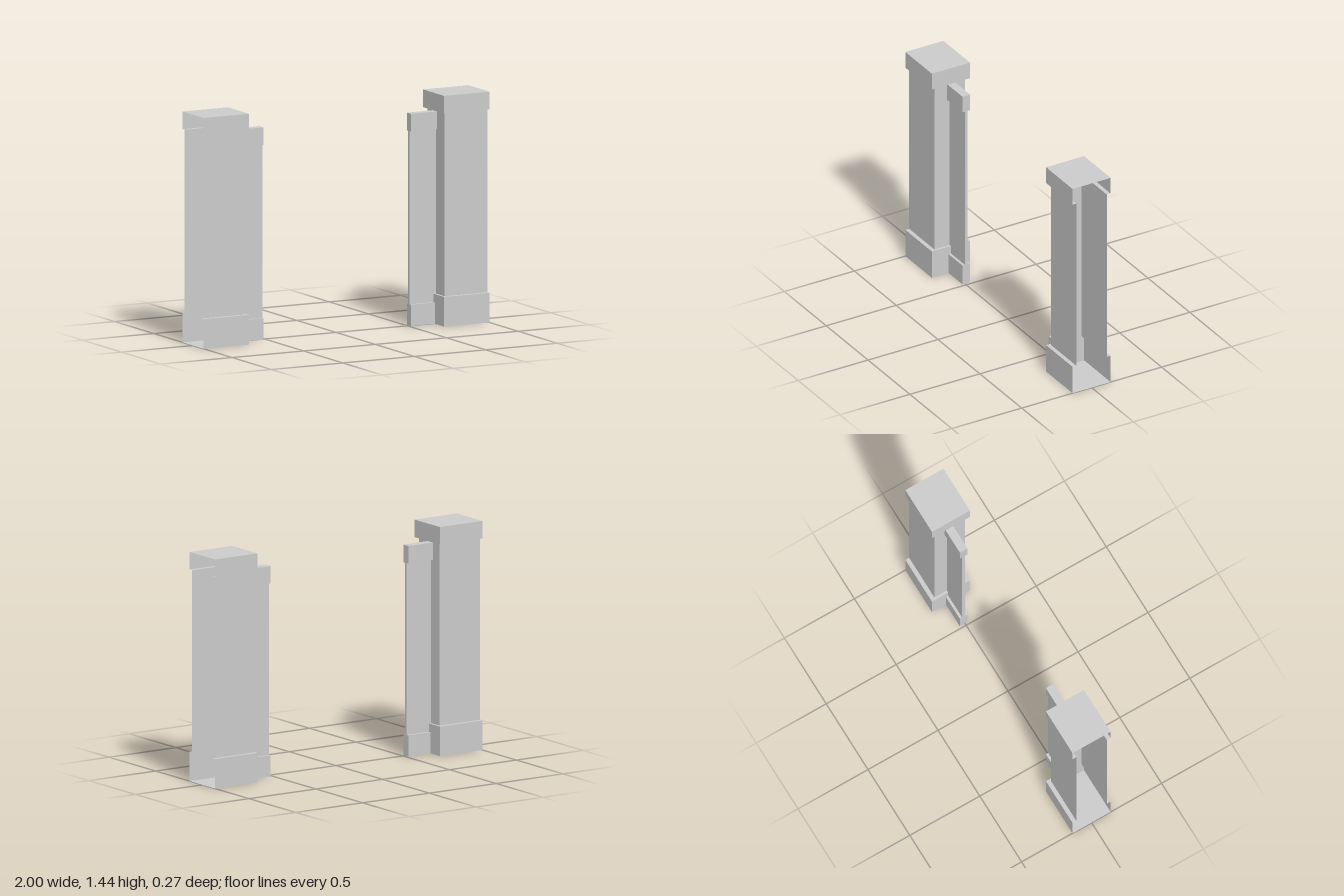
import * as THREE from 'three';

const material = new THREE.MeshStandardMaterial({ color: 0xcccccc, flatShading: true, side: THREE.DoubleSide });

// Skins U-shaped cross-sections that are open towards the outer side.
// Each level is [y, innerX, outerX, centreZ, halfZ, skipInnerWall].
function loftU(name, levels) {
  const ring = ([y, xi, xo, zc, h]) => [[xo, y, zc + h], [xi, y, zc + h], [xi, y, zc - h], [xo, y, zc - h]];
  const pos = [];
  for (let i = 0; i < levels.length - 1; i++) {
    const a = ring(levels[i]), b = ring(levels[i + 1]);
    for (let k = 0; k < 3; k++) {
      if (k === 1 && levels[i][5]) continue;
      pos.push(...a[k], ...b[k], ...a[k + 1], ...a[k + 1], ...b[k], ...b[k + 1]);
    }
  }
  const geometry = new THREE.BufferGeometry();
  geometry.setAttribute('position', new THREE.Float32BufferAttribute(pos, 3));
  geometry.computeVertexNormals();
  const mesh = new THREE.Mesh(geometry, material);
  mesh.name = name;
  return mesh;
}

const BLOCK_X = 0.682, SHAFT_X = 0.698, END_X = 0.515;
const BLOCK_Z = 0.136, SHAFT_Z = 0.109;
const BASE_Y = 0.185, CAP_Y = 1.326, TOP_Y = 1.436;
const STRIP_Z = -0.01, STRIP_H = 0.027, PANEL_H = 0.01;
const STRIP_BASE_Y = 0.133, STRIP_CAP_Y = 1.21, STRIP_TOP_Y = 1.32;

function createPost() {
  const post = new THREE.Group();

  // Wide pilaster: closed base, shaft and cap with ledges, open outer side
  post.add(loftU('pilaster', [
    [0, 1, 1, 0, 0],
    [0, BLOCK_X, 1, 0, BLOCK_Z, true],
    [BASE_Y, BLOCK_X, 1, 0, BLOCK_Z],
    [BASE_Y, SHAFT_X, 1, 0, SHAFT_Z],
    [CAP_Y, SHAFT_X, 1, 0, SHAFT_Z],
    [CAP_Y, BLOCK_X, 1, 0, BLOCK_Z],
    [TOP_Y, BLOCK_X, 1, 0, BLOCK_Z],
    [TOP_Y, 1, 1, 0, 0],
  ]));

  // Inner wall of the base, cut out where the side strip joins
  for (const s of [1, -1]) {
    const points = [
      [s * BLOCK_Z, 0], [STRIP_Z + s * STRIP_H, 0], [STRIP_Z + s * STRIP_H, STRIP_BASE_Y],
      [STRIP_Z + s * PANEL_H, STRIP_BASE_Y], [STRIP_Z + s * PANEL_H, BASE_Y], [s * BLOCK_Z, BASE_Y],
    ].map(([z, y]) => new THREE.Vector2(z, y));
    const wall = new THREE.Mesh(new THREE.ShapeGeometry(new THREE.Shape(points)), material);
    wall.name = s > 0 ? 'baseWallFront' : 'baseWallBack';
    wall.rotation.y = -Math.PI / 2;
    wall.position.x = BLOCK_X;
    post.add(wall);
  }

  // Thin side strip: foot, panel and head
  post.add(loftU('sideStrip', [
    [0, BLOCK_X, BLOCK_X, STRIP_Z, 0],
    [0, END_X, BLOCK_X, STRIP_Z, STRIP_H],
    [STRIP_BASE_Y, END_X, BLOCK_X, STRIP_Z, STRIP_H],
    [STRIP_BASE_Y, END_X, BLOCK_X, STRIP_Z, PANEL_H],
    [BASE_Y, END_X, BLOCK_X, STRIP_Z, PANEL_H],
    [BASE_Y, END_X, SHAFT_X, STRIP_Z, PANEL_H],
    [STRIP_CAP_Y, END_X, SHAFT_X, STRIP_Z, PANEL_H],
    [STRIP_CAP_Y, END_X, SHAFT_X, STRIP_Z, STRIP_H],
    [STRIP_TOP_Y, END_X, SHAFT_X, STRIP_Z, STRIP_H],
    [STRIP_TOP_Y, SHAFT_X, SHAFT_X, STRIP_Z, 0],
  ]));
  return post;
}

export function createModel() {
  const model = new THREE.Group();
  model.name = 'gatePosts';
  const left = createPost();
  left.name = 'leftPost';
  const right = createPost();
  right.name = 'rightPost';
  right.scale.x = -1;
  model.add(left, right);
  return model;
}
